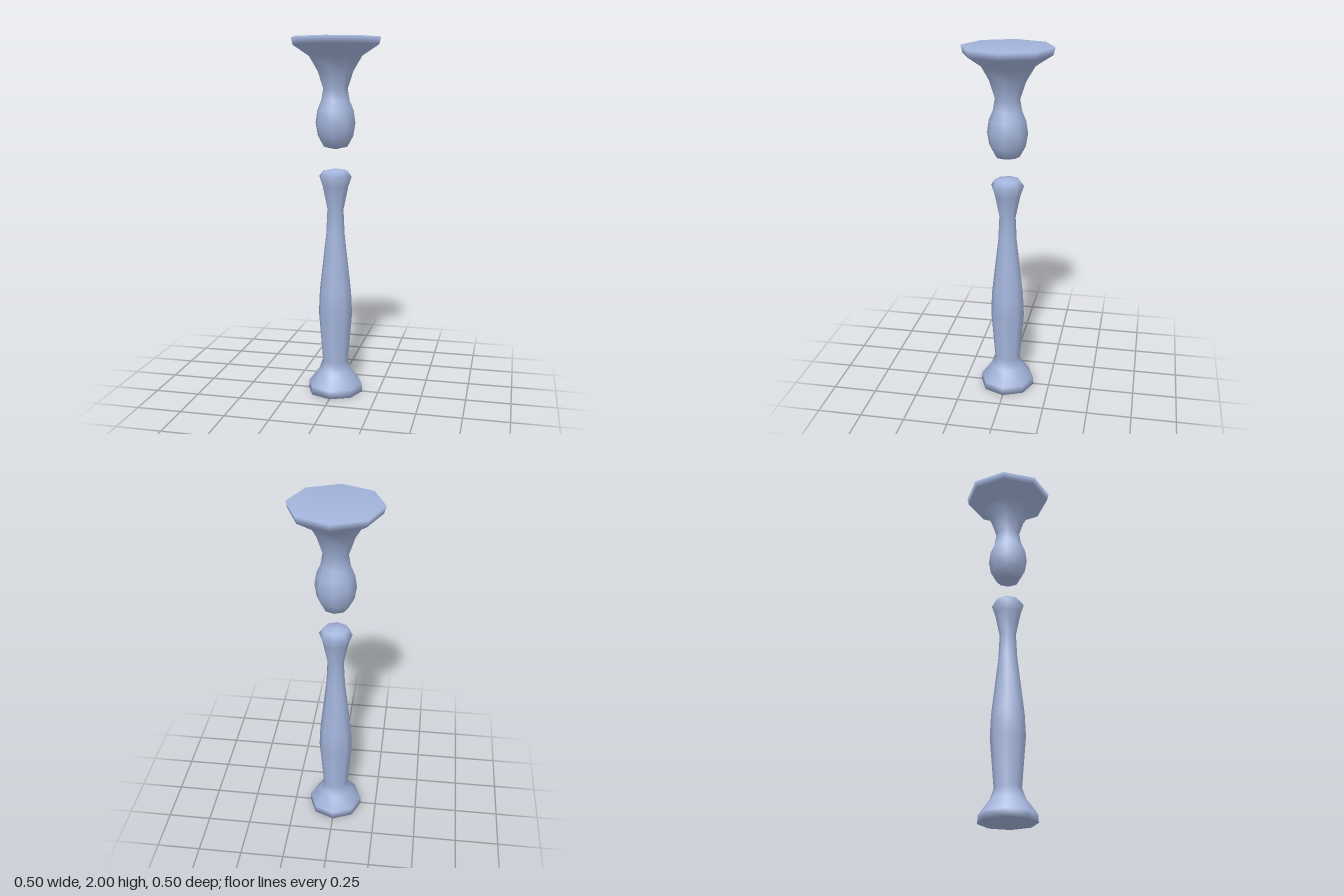
import * as THREE from 'three';

const SIDES = 8;

// Turned eight-sided solid from [radius, height] pairs, bottom to top
function turned(name, profile, material) {
  const points = profile.map(([r, y]) => new THREE.Vector2(r, y));
  const mesh = new THREE.Mesh(new THREE.LatheGeometry(points, SIDES), material);
  mesh.name = name;
  return mesh;
}

export function createModel() {
  const group = new THREE.Group();
  group.name = 'brokenColumn';
  const paleBlue = new THREE.MeshStandardMaterial({ color: 0xa3b4db });
  paleBlue.name = 'paleBlue';

  // Lower pillar: flared foot, swelling shaft, narrow neck and rounded knob
  group.add(turned('lowerPillar', [
    [0, 0], [0.158, 0], [0.155, 0.045], [0.095, 0.125], [0.074, 0.18],
    [0.097, 0.46], [0.091, 0.59], [0.053, 0.92], [0.046, 1.06],
    [0.073, 1.19], [0.092, 1.245], [0.07, 1.276], [0, 1.29],
  ], paleBlue));

  // Upper finial: bulb, waist and flaring flat-topped dish
  group.add(turned('upperFinial', [
    [0, 1.395], [0.067, 1.41], [0.1, 1.47], [0.112, 1.54], [0.102, 1.61],
    [0.08, 1.66], [0.068, 1.725], [0.1, 1.82], [0.148, 1.9],
    [0.24, 1.96], [0.25, 2], [0, 2],
  ], paleBlue));

  return group;
}
